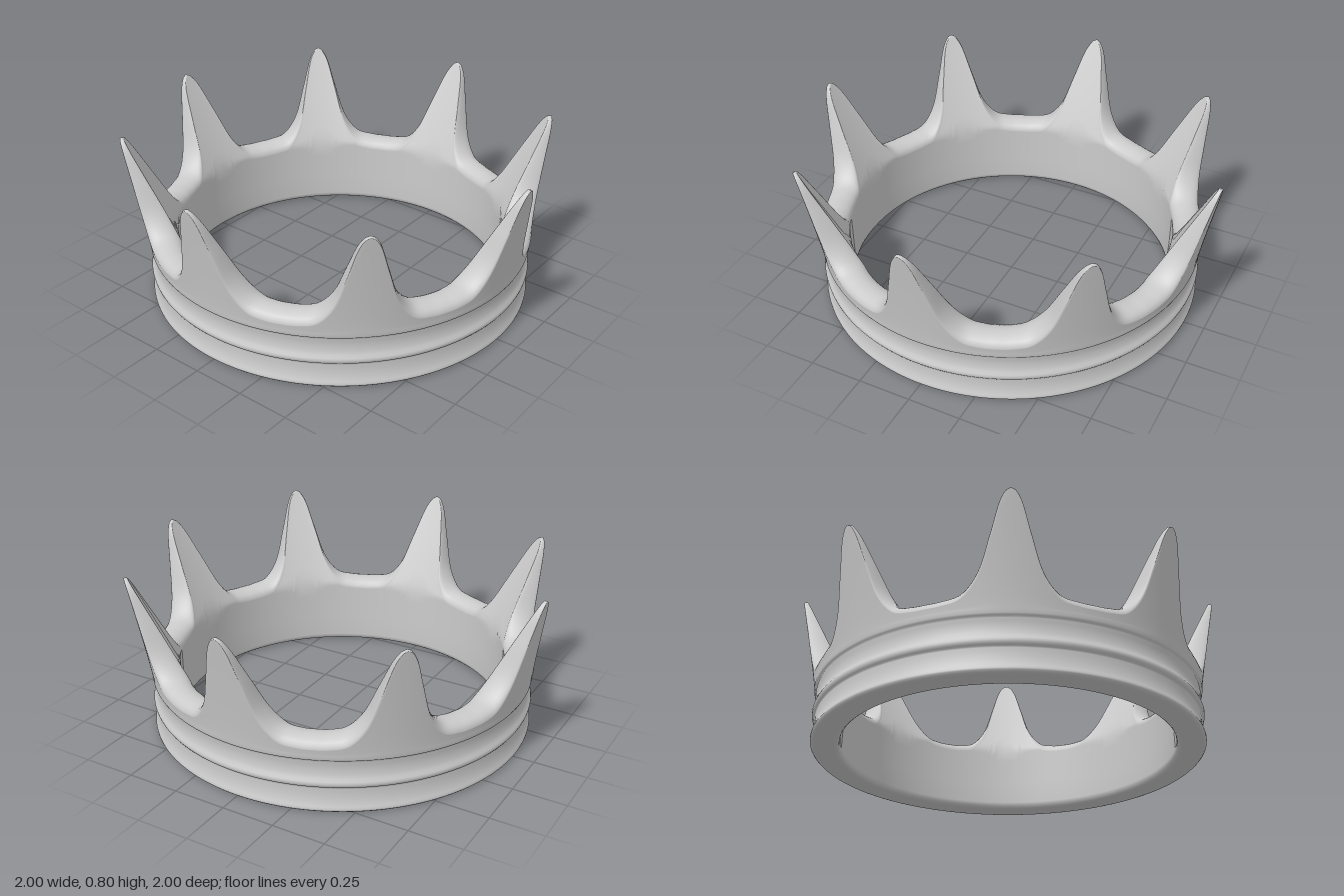
import * as THREE from 'three';

const SPIKES = 8, COLS = 60;
const lerp = THREE.MathUtils.lerp;

// Rim height over one spike: (angle from the spike's centre, height)
const half = [[0.02, 0.785], [0.049, 0.735], [0.089, 0.61], [0.145, 0.46], [0.224, 0.374], [0.32, 0.354]];
const valley = Math.PI / SPIKES;
const rim = new THREE.SplineCurve([
  [-valley, 0.352], ...half.map(([a, h]) => [-a, h]).reverse(), [0, 0.795], ...half, [valley, 0.352],
].map(([a, h]) => new THREE.Vector2(a, h)));

// Moulded outside of the band, from the underside up: (radius, height)
const band = [
  [0.775, 0.012], [0.785, 0.003], [0.80, 0], [0.84, 0], [0.885, 0], [0.897, 0.003], [0.904, 0.01], [0.905, 0.018],
  [0.901, 0.028], [0.895, 0.045], [0.891, 0.07], [0.89, 0.095], [0.891, 0.112], [0.891, 0.119],
  [0.898, 0.123], [0.903, 0.131], [0.905, 0.141], [0.902, 0.151], [0.895, 0.163], [0.89, 0.18],
  [0.888, 0.205], [0.89, 0.23], [0.894, 0.243], [0.893, 0.249], [0.899, 0.253], [0.903, 0.262], [0.904, 0.28],
];

// Walls flare outward and meet at the spike tips
const flare = (y, y0) => Math.max(0, (y - y0) / (0.795 - y0));
const outer = y => 0.904 + 0.096 * Math.pow(flare(y, 0.28), 1.1);
const inner = y => 0.77 + 0.213 * Math.pow(flare(y, 0.33), 1.05);

// Closed cross-section of the crown where the rim has height h
function section(h) {
  const cap = 0.32 * (outer(h) - inner(h));
  const top = h - cap, pts = band.slice();
  for (let i = 1; i <= 10; i++) {
    const y = lerp(0.28, top, i / 10);
    pts.push([outer(y), y]);
  }
  // rounded rim
  const mid = (outer(top) + inner(top)) / 2, r = (outer(top) - inner(top)) / 2;
  for (let i = 1; i < 10; i++) {
    const a = Math.PI * i / 10;
    pts.push([mid + r * Math.cos(a), top + cap * Math.sin(a)]);
  }
  // inside wall
  for (let i = 0; i <= 10; i++) {
    const y = lerp(top, 0.26, i / 10);
    pts.push([inner(y), y]);
  }
  pts.push([0.77, 0.14], [0.77, 0.03]);
  return pts;
}

function crownGeometry() {
  const columns = rim.getSpacedPoints(COLS).slice(0, COLS);
  const positions = [], index = [];
  let n = 0;
  for (let s = 0; s < SPIKES; s++) {
    for (const c of columns) {
      const angle = s * 2 * valley + c.x;
      const pts = section(c.y);
      n = pts.length;
      for (const [r, y] of pts) positions.push(r * Math.sin(angle), y, r * Math.cos(angle));
    }
  }
  const total = SPIKES * COLS;
  for (let i = 0; i < total; i++) {
    const a = i * n, b = ((i + 1) % total) * n;
    for (let j = 0; j < n; j++) {
      const k = (j + 1) % n;
      index.push(a + j, b + j, b + k, a + j, b + k, a + k);
    }
  }
  const geo = new THREE.BufferGeometry();
  geo.setAttribute('position', new THREE.Float32BufferAttribute(positions, 3));
  geo.setIndex(index);
  geo.computeVertexNormals();
  return geo;
}

export function createModel() {
  const group = new THREE.Group();
  group.name = 'crown';
  const mesh = new THREE.Mesh(crownGeometry(), new THREE.MeshStandardMaterial({ color: 0xcccccc }));
  mesh.name = 'spikedBand';
  group.add(mesh);
  return group;
}
